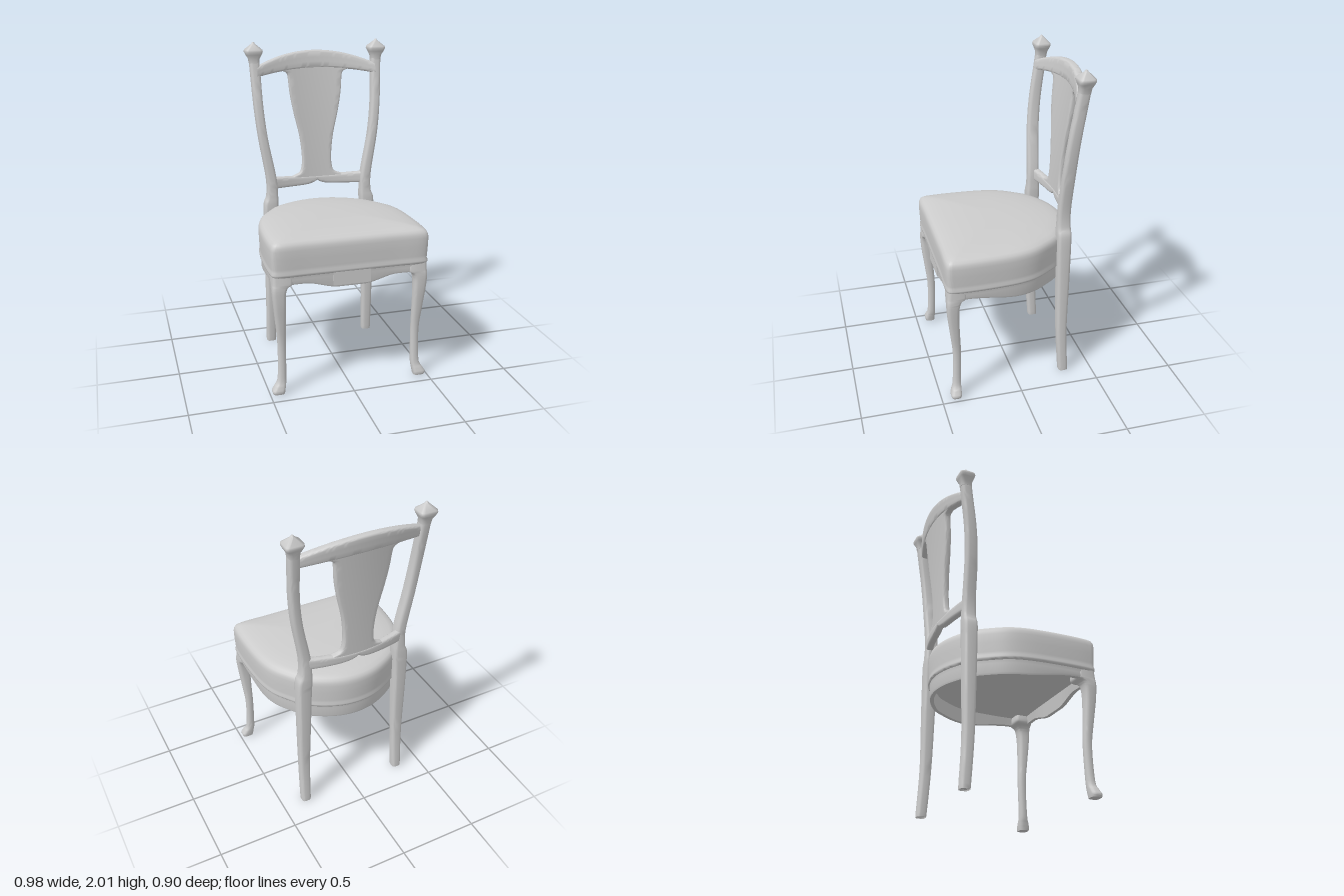
import * as THREE from 'three';
import { toCreasedNormals } from 'three/addons/utils/BufferGeometryUtils.js';

const material = new THREE.MeshStandardMaterial({ color: 0xcccccc });

// Skin a list of equal-length rings; ends are capped unless the loft closes on itself
function loft(name, rings, capped = true, crease = 0.9) {
  const n = rings[0].length;
  const pos = rings.flat(2);
  const index = [];
  for (let i = 0; i < rings.length - 1; i++) {
    for (let j = 0; j < n; j++) {
      const a = i * n + j, b = i * n + (j + 1) % n;
      index.push(a, b, a + n, b, b + n, a + n);
    }
  }
  if (capped) {
    [0, rings.length - 1].forEach((r, end) => {
      const c = pos.length / 3;
      pos.push(...[0, 1, 2].map(k => rings[r].reduce((s, p) => s + p[k], 0) / n));
      for (let j = 0; j < n; j++) {
        const a = r * n + j, b = r * n + (j + 1) % n;
        if (end) index.push(a, b, c); else index.push(b, a, c);
      }
    });
  }
  // turn the faces outward if the enclosed volume is negative
  const v = i => new THREE.Vector3().fromArray(pos, i * 3);
  let volume = 0;
  for (let i = 0; i < index.length; i += 3) {
    volume += v(index[i]).dot(v(index[i + 1]).cross(v(index[i + 2])));
  }
  if (volume < 0) index.reverse();
  const g = new THREE.BufferGeometry();
  g.setAttribute('position', new THREE.Float32BufferAttribute(pos, 3));
  g.setIndex(index);
  const mesh = new THREE.Mesh(toCreasedNormals(g, crease), material);
  mesh.name = name;
  return mesh;
}

// Rounded rectangle, with extra points along the two sides that run in direction a
function section(a0, a1, b0, b1, r, sub = 1) {
  const pts = [];
  r = Math.min(r, (a1 - a0) * 0.49, (b1 - b0) * 0.49);
  const corners = [[a1 - r, b1 - r], [a0 + r, b1 - r], [a0 + r, b0 + r], [a1 - r, b0 + r]];
  corners.forEach(([a, b], c) => {
    for (let k = 0; k <= 3; k++) {
      const t = (c + k / 3) * Math.PI / 2;
      pts.push([a + r * Math.cos(t), b + r * Math.sin(t)]);
    }
    if (c % 2 === 0) {
      const end = corners[c + 1][0], y = pts[pts.length - 1][1];
      for (let k = 1; k < sub; k++) pts.push([a + (end - a) * k / sub, y]);
    }
  });
  return pts;
}

// Smooth in-between rows through key rows of numbers
function smoothRows(rows, steps = 5) {
  const out = [];
  const at = i => rows[Math.max(0, Math.min(rows.length - 1, i))];
  for (let i = 0; i < rows.length - 1; i++) {
    for (let s = 0; s < steps; s++) {
      const t = s / steps;
      out.push(rows[i].map((p, k) => {
        const a = at(i - 1)[k], q = at(i + 1)[k], d = at(i + 2)[k];
        return p + 0.5 * t * (q - a + t * (2 * a - 5 * p + 4 * q - d + t * (3 * (p - q) + d - a)));
      }));
    }
  }
  out.push(rows[rows.length - 1]);
  return out;
}

// Upright member from rows of [y, x0, x1, z0, z1]; side mirrors it in x
const upright = (name, rows, r, side) => loft(name, rows.map(([y, x0, x1, z0, z1]) =>
  section(x0, x1, z0, z1, r).map(([x, z]) => [side * x, y, z])));

// Seat outline [x, z], right half mirrored
const half = [[0.25, 0.445], [0.45, 0.445], [0.474, 0.432], [0.482, 0.39], [0.484, 0.2], [0.467, 0],
  [0.437, -0.1], [0.375, -0.2], [0.31, -0.28], [0.2, -0.35], [0.1, -0.388]];
const outline = new THREE.CatmullRomCurve3(
  [[0, 0.445], ...half, [0, -0.4], ...half.slice().reverse().map(([x, z]) => [-x, z])]
    .map(([x, z]) => new THREE.Vector3(x, 0, z)), true, 'centripetal').getPoints(144).slice(0, -1);
const seatRing = (s, y) => outline.map(p =>
  [p.x * s, typeof y === 'function' ? y(p) : y, 0.02 + (p.z - 0.02) * s]);

// Wavy lower edge of the apron
function apronEdge(p) {
  const ss = THREE.MathUtils.smoothstep;
  if (p.z > 0.43) return 0.657 + 0.043 * ss(Math.abs(p.x), 0.08, 0.3);
  return 0.662 + 0.038 * ss(p.z, -0.02, 0.33);
}

// Backrest surface: leans back and is hollowed toward the sitter
function backZ(x, y) {
  const t = (y - 1.08) / 0.86;
  return -0.358 - 0.03 * t - 0.04 * t * t + 0.45 * x * x;
}

// Rail swept along x between a lower and an upper edge
function rail(name, reach, low, high, depth) {
  const rings = [];
  for (let i = 0; i <= 48; i++) {
    const x = reach * (i / 24 - 1);
    rings.push(section(low(x), high(x), -depth / 2, depth / 2, 0.014, 3)
      .map(([y, d]) => [x, y, backZ(x, y) + d]));
  }
  return loft(name, rings);
}

export function createModel() {
  const chair = new THREE.Group();
  chair.name = 'chair';

  // Upholstered seat with a piped lower edge and a domed top
  chair.add(loft('seatCushion', [[0.02, 0.748], [0.9, 0.748], [0.985, 0.75], [1, 0.758], [1.002, 0.768],
    [0.992, 0.782], [0.994, 0.8], [1, 0.86], [1.002, 0.91], [0.997, 0.93], [0.982, 0.947], [0.95, 0.959],
    [0.88, 0.969], [0.75, 0.979], [0.5, 0.989], [0.25, 0.993], [0.02, 0.994]].map(([s, y]) => seatRing(s, y))));

  // Hollow apron under the seat
  chair.add(loft('apron', [seatRing(0.89, 0.752), seatRing(0.98, 0.752), seatRing(0.972, 0.73),
    seatRing(0.975, p => apronEdge(p) + 0.012), seatRing(0.965, apronEdge), seatRing(0.91, apronEdge),
    seatRing(0.89, 0.752)], false));

  // Raised block at the middle of the front apron
  const block = new THREE.Mesh(new THREE.BoxGeometry(0.23, 0.09, 0.03), material);
  block.name = 'frontApronBlock';
  block.position.set(0, 0.715, 0.426);
  chair.add(block);

  const frontLeg = smoothRows([
    [0, 0.413, 0.484, 0.378, 0.438], [0.018, 0.41, 0.487, 0.376, 0.441], [0.045, 0.405, 0.472, 0.374, 0.434],
    [0.1, 0.398, 0.45, 0.372, 0.422], [0.3, 0.397, 0.446, 0.366, 0.416], [0.45, 0.398, 0.458, 0.372, 0.43],
    [0.57, 0.398, 0.47, 0.376, 0.443], [0.65, 0.396, 0.477, 0.372, 0.447], [0.685, 0.383, 0.477, 0.358, 0.446],
    [0.705, 0.355, 0.475, 0.33, 0.443], [0.755, 0.355, 0.474, 0.33, 0.438]]);

  const backPost = smoothRows([
    [0, 0.312, 0.368, -0.35, -0.293], [0.02, 0.309, 0.37, -0.35, -0.29], [0.3, 0.303, 0.37, -0.336, -0.272],
    [0.65, 0.292, 0.372, -0.34, -0.265], [0.85, 0.286, 0.372, -0.342, -0.262], [0.97, 0.28, 0.368, -0.343, -0.26],
    [1.03, 0.28, 0.35, -0.342, -0.263], [1.15, 0.288, 0.352, -0.34, -0.266], [1.4, 0.335, 0.392, -0.348, -0.274],
    [1.6, 0.356, 0.413, -0.363, -0.292], [1.8, 0.363, 0.424, -0.389, -0.322], [1.885, 0.366, 0.428, -0.4, -0.334]]);

  const finial = [
    [1.87, 0.366, 0.428, -0.4, -0.332], [1.9, 0.364, 0.433, -0.404, -0.334], [1.925, 0.352, 0.447, -0.414, -0.326],
    [1.942, 0.345, 0.455, -0.42, -0.321], [1.955, 0.347, 0.453, -0.418, -0.323], [1.99, 0.387, 0.413, -0.383, -0.359],
    [2, 0.394, 0.406, -0.376, -0.365]];

  for (const [side, label] of [[1, 'left'], [-1, 'right']]) {
    chair.add(upright(label + 'FrontLeg', frontLeg, 0.02, side));
    chair.add(upright(label + 'BackPost', backPost, 0.018, side));
    chair.add(upright(label + 'Finial', finial, 0.02, side));
  }

  // Arched top rail and lower back rail with a small centre notch
  chair.add(rail('topRail', 0.385, x => 1.825 - 0.25 * x * x, x => 1.935 - 0.56 * x * x, 0.05));
  chair.add(rail('lowerBackRail', 0.31,
    x => 1.066 + 0.03 * Math.exp(-Math.abs(x) / 0.035), x => 1.128 + 0.15 * x * x, 0.045));

  // Vase-shaped splat, rows of [y, half width]
  const splat = smoothRows([[1.105, 0.2], [1.13, 0.165], [1.15, 0.118], [1.19, 0.101], [1.27, 0.098],
    [1.4, 0.113], [1.55, 0.147], [1.67, 0.168], [1.77, 0.177], [1.802, 0.188], [1.82, 0.225], [1.85, 0.24]], 4);
  chair.add(loft('backSplat', splat.map(([y, w]) => section(-w, w, -0.02, 0.02, 0.012, 12)
    .map(([x, d]) => [x, y, backZ(x, y) + d]))));

  return chair;
}
